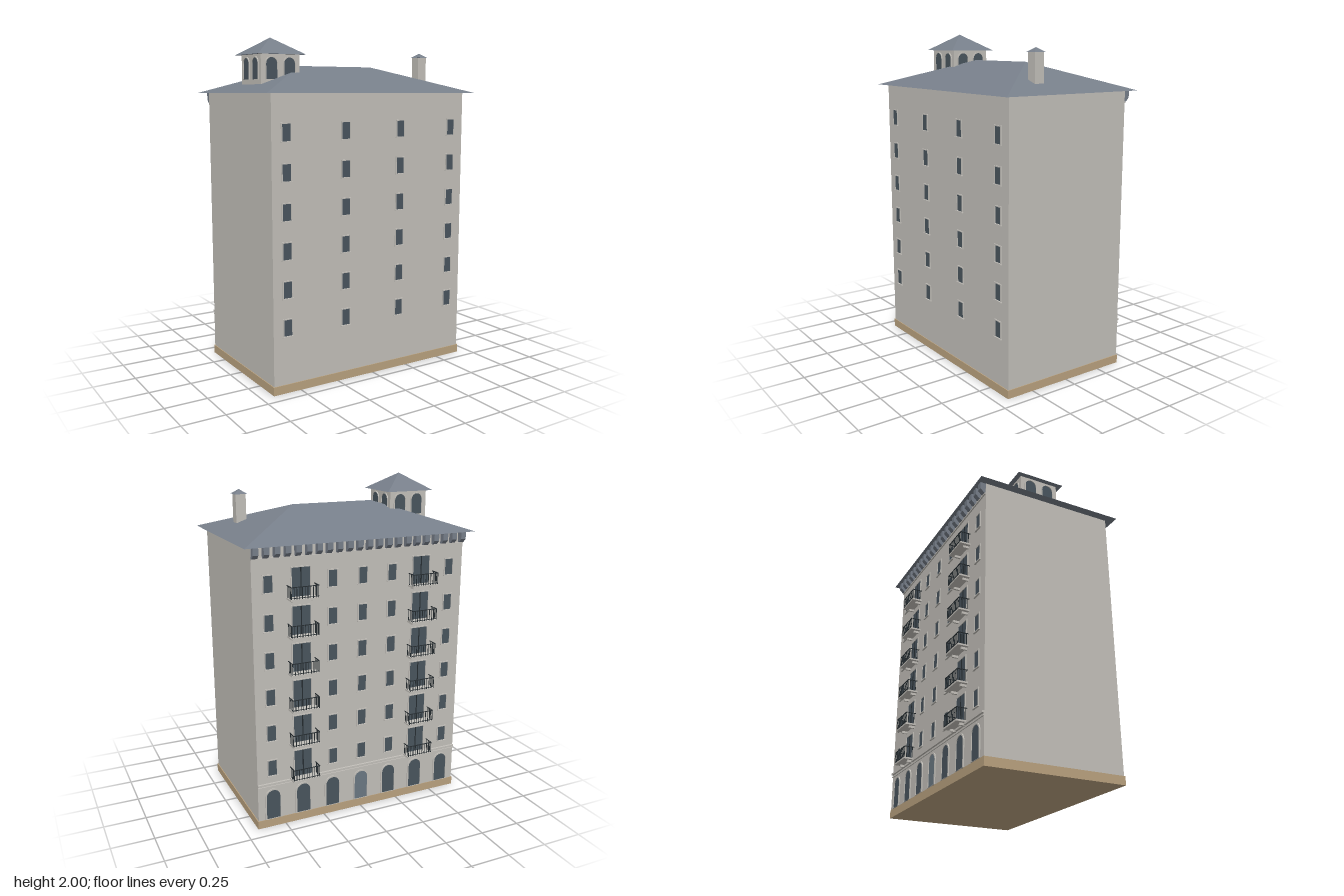
import * as THREE from 'three';

const mat = (name, color) => {
  const m = new THREE.MeshStandardMaterial({ color });
  m.name = name;
  return m;
};

export function createModel() {
  const wall = mat('plaster', 0xc3c0ba);
  const tan = mat('plinth stone', 0xbaa27f);
  const slate = mat('roof slate', 0x777f8a);
  const glass = mat('window glass', 0x49555e);
  const doorMat = mat('entrance door', 0x6b7883);
  const iron = mat('iron', 0x262d31);

  const root = new THREE.Group();
  root.name = 'apartmentBuilding';

  const add = (parent, name, geo, m, x = 0, y = 0, z = 0) => {
    const mesh = new THREE.Mesh(geo, m);
    mesh.name = name;
    mesh.position.set(x, y, z);
    parent.add(mesh);
    return mesh;
  };
  const box = (parent, name, m, w, h, d, x, y, z) =>
    add(parent, name, new THREE.BoxGeometry(w, h, d), m, x, y, z);
  const group = (parent, name, x = 0, y = 0, z = 0) => {
    const g = new THREE.Group();
    g.name = name;
    g.position.set(x, y, z);
    parent.add(g);
    return g;
  };

  // Hipped roof; a ridge of zero length gives a pyramid
  const hip = (hx, zFront, zBack, ridge, h) => {
    const a = [-hx, 0, zFront], b = [hx, 0, zFront], c = [hx, 0, zBack], d = [-hx, 0, zBack];
    const e = [-ridge, h, 0], f = [ridge, h, 0];
    const tris = [a, b, f, b, c, f, c, d, e, d, a, e, a, d, c, a, c, b];
    if (ridge > 0) tris.push(a, f, e, c, e, f);
    const g = new THREE.BufferGeometry();
    g.setAttribute('position', new THREE.Float32BufferAttribute(tris.flat(), 3));
    g.computeVertexNormals();
    return g;
  };

  // Outlines standing on y = 0: rectangle or round-headed arch
  const rect = (s, w, h, y = 0) => {
    s.moveTo(-w / 2, y); s.lineTo(w / 2, y); s.lineTo(w / 2, y + h); s.lineTo(-w / 2, y + h);
    s.closePath();
    return s;
  };
  const arch = (s, w, h, y = 0) => {
    const top = y + h - w / 2;
    s.moveTo(-w / 2, y); s.lineTo(w / 2, y); s.lineTo(w / 2, top);
    s.absarc(0, top, w / 2, 0, Math.PI, false);
    s.closePath();
    return s;
  };
  const plate = (shape, depth) =>
    new THREE.ExtrudeGeometry(shape, { depth, bevelEnabled: false, curveSegments: 10 });
  // Raised surround with a flush pane
  const opening = (outline, w, h, t) => {
    const s = outline(new THREE.Shape(), w + 2 * t, h + t);
    s.holes.push(outline(new THREE.Path(), w, h - 0.001, 0.001));
    return { frame: plate(s, 0.006), pane: plate(outline(new THREE.Shape(), w, h), 0.002) };
  };
  const putOpening = (parent, name, o, x, y, pane = glass) => {
    const g = group(parent, name, x, y, 0);
    add(g, 'surround', o.frame, wall);
    add(g, 'pane', o.pane, pane);
    return g;
  };

  // Main volume
  box(root, 'plinth', tan, 1.35, 0.05, 0.838, 0, 0.025, 0.006);
  box(root, 'walls', wall, 1.34, 1.635, 0.83, 0, 0.8675, 0.005);
  add(root, 'mainRoof', hip(0.72, 0.47, -0.463, 0.26, 0.16), slate, 0, 1.68, 0);

  const floors = Array.from({ length: 6 }, (_, i) => 0.38 + i * 0.218);
  const windowParts = opening(rect, 0.052, 0.095, 0.006);
  const putWindow = (parent, x, y) => {
    const g = putOpening(parent, 'window', windowParts, x, y - 0.0475);
    box(g, 'sill', wall, 0.07, 0.006, 0.01, 0, -0.003, 0.005);
  };

  // Plain front
  const front = group(root, 'frontFacade', 0, 0, 0.42);
  for (const y of floors) for (const x of [-0.58, -0.195, 0.19, 0.575]) putWindow(front, x, y);

  // Decorated rear, built facing +z and turned round
  const rear = group(root, 'rearFacade', 0, 0, -0.41);
  rear.rotation.y = Math.PI;

  const putBalcony = (x, y) => {
    const g = group(rear, 'balcony', x, y, 0);
    box(g, 'slab', wall, 0.17, 0.01, 0.064, 0, 0, 0.032);
    for (const s of [-1, 1]) {
      box(g, 'bracket', wall, 0.012, 0.014, 0.035, s * 0.06, -0.012, 0.0175);
      box(g, 'sideRail', iron, 0.004, 0.004, 0.062, s * 0.081, 0.073, 0.031);
      for (let i = 0; i < 3; i++)
        box(g, 'sideBar', iron, 0.003, 0.068, 0.003, s * 0.081, 0.039, 0.012 + i * 0.018);
    }
    box(g, 'frontRail', iron, 0.166, 0.004, 0.004, 0, 0.073, 0.062);
    box(g, 'lowerRail', iron, 0.166, 0.003, 0.003, 0, 0.012, 0.062);
    for (let i = 0; i < 11; i++)
      box(g, 'frontBar', iron, 0.003, 0.068, 0.003, -0.081 + i * 0.0162, 0.039, 0.062);
  };

  const doorParts = opening(rect, 0.11, 0.165, 0.006);
  for (const y of floors) {
    for (const x of [-0.577, -0.19, 0, 0.19, 0.577]) putWindow(rear, x, y);
    for (const x of [-0.384, 0.384]) {
      const d = putOpening(rear, 'balconyDoor', doorParts, x, y - 0.085);
      box(d, 'mullion', iron, 0.006, 0.165, 0.004, 0, 0.0825, 0.002);
      putBalcony(x, y - 0.09);
    }
  }

  // Ground floor arcade with the entrance in the middle
  const arcade = opening(arch, 0.086, 0.185, 0.009);
  for (let i = -3; i <= 3; i++)
    putOpening(rear, i ? 'arcadeWindow' : 'entrance', arcade, i * 0.192, 0.052, i ? glass : doorMat);
  box(rear, 'stringCourse', wall, 1.34, 0.012, 0.012, 0, 0.28, 0.006);
  box(rear, 'lowerCourse', wall, 1.34, 0.008, 0.006, 0, 0.262, 0.003);

  // Brackets under the eaves
  const profile = new THREE.Shape([[0, 0], [0.012, 0], [0.034, 0.022], [0.034, 0.065], [0, 0.065]]
    .map(([x, y]) => new THREE.Vector2(x, y)));
  const corbel = plate(profile, 0.032);
  corbel.translate(0, 0, -0.016);
  corbel.rotateY(-Math.PI / 2);
  box(rear, 'corniceBand', wall, 1.34, 0.008, 0.008, 0, 1.61, 0.004);
  for (let i = 0; i < 22; i++)
    add(rear, 'eavesBracket', corbel, slate, -0.652 + i * (1.304 / 21), 1.615, 0);

  // Belvedere with paired arches on each side
  const tower = group(root, 'belvedere', -0.452, 0, 0);
  box(tower, 'belvedereWalls', wall, 0.25, 0.21, 0.25, 0, 1.795, 0);
  add(tower, 'belvedereRoof', hip(0.155, 0.155, -0.155, 0, 0.1), slate, 0, 1.9, 0);
  const towerArch = opening(arch, 0.072, 0.125, 0.006);
  for (let i = 0; i < 4; i++) {
    const side = group(tower, 'belvedereSide');
    side.rotation.y = i * Math.PI / 2;
    const face = group(side, 'belvedereFace', 0, 0, 0.125);
    for (const x of [-0.058, 0.058]) putOpening(face, 'belvedereArch', towerArch, x, 1.757);
  }

  // Chimney
  const chimney = group(root, 'chimney', 0.542, 0, 0.145);
  box(chimney, 'chimneyStack', wall, 0.062, 0.2, 0.062, 0, 1.8, 0);
  add(chimney, 'chimneyCap', hip(0.039, 0.039, -0.039, 0, 0.027), slate, 0, 1.9, 0);

  return root;
}
